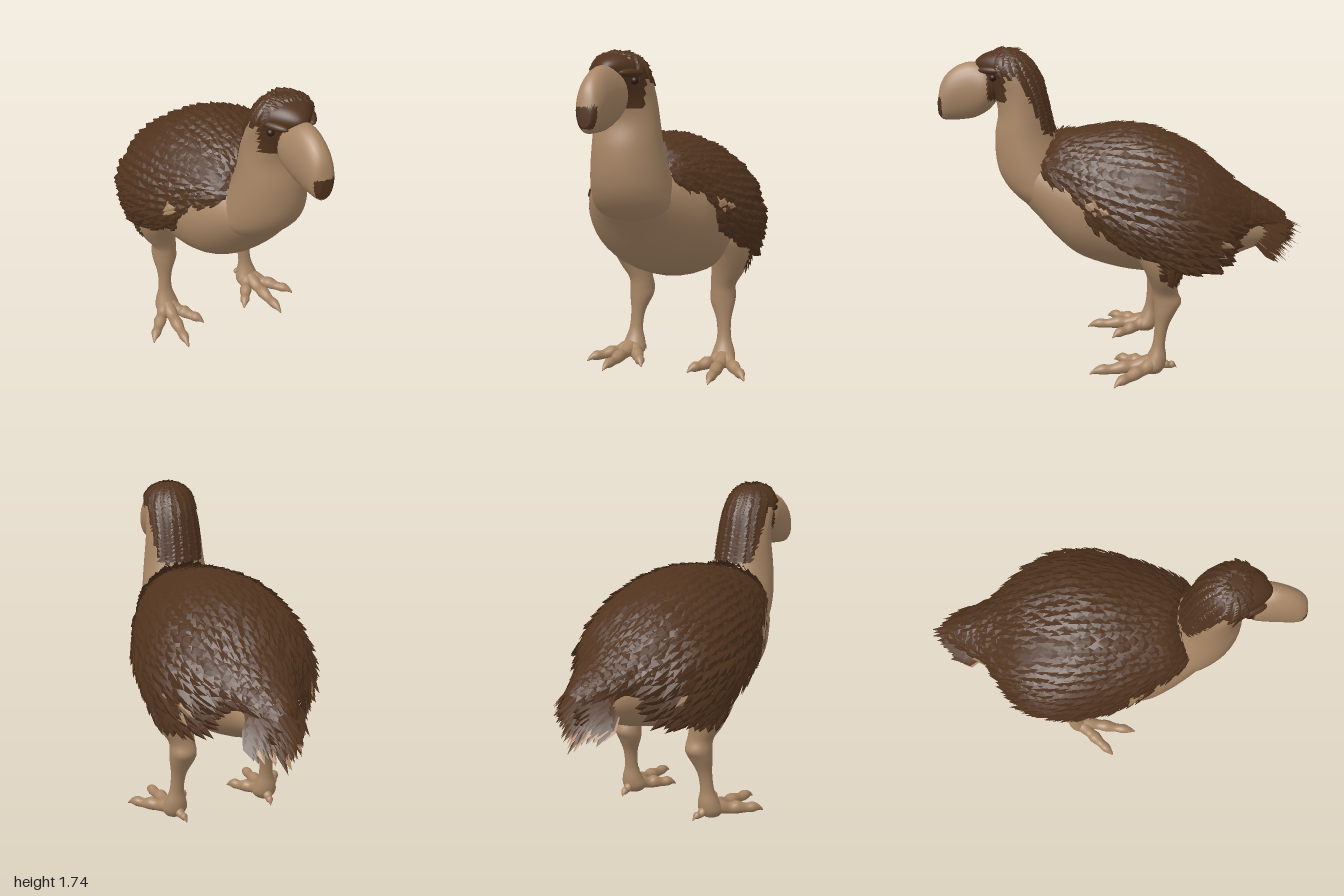
import * as THREE from 'three';

const V = (x, y, z) => new THREE.Vector3(x, y, z);
const tan = new THREE.MeshStandardMaterial({ color: 0xa88665, side: THREE.DoubleSide });
tan.name = 'bare skin tan';
const brown = new THREE.MeshStandardMaterial({ color: 0x50331e, side: THREE.DoubleSide });
brown.name = 'plumage brown';
const dark = new THREE.MeshStandardMaterial({ color: 0x2e1d12 });
dark.name = 'eye dark brown';

// Small seeded generator for feather variation
let seed = 7;
const rand = () => (seed = (seed * 16807) % 2147483647) / 2147483647;
const jitter = (a) => (rand() * 2 - 1) * a;

// Resample rows of numbers with a Catmull-Rom spline in every column
function smooth(keys, n) {
  const last = keys.length - 1;
  return Array.from({ length: n + 1 }, (_, i) => {
    const t = (i / n) * last, k = Math.min(Math.floor(t), last - 1), f = t - k;
    return keys[0].map((_, c) => {
      const [p, a, b, q] = [k - 1, k, k + 1, k + 2].map((j) => keys[Math.min(last, Math.max(0, j))][c]);
      return a + 0.5 * f * (b - p + f * (2 * p - 5 * a + 4 * b - q + f * (3 * (a - b) + q - p)));
    });
  });
}

const circle = (n, fn) => Array.from({ length: n }, (_, i) => {
  const a = (i / n) * Math.PI * 2;
  return fn(Math.sin(a), Math.cos(a));
});

// Skin cross-sections; isBrown(centre of face) picks the colour of each face
function loft(name, rings, { closed = true, isBrown = () => false } = {}) {
  const n = rings[0].length, pts = rings.flat(), tris = [];
  for (let r = 0; r < rings.length - 1; r++) {
    for (let c = 0; c < (closed ? n : n - 1); c++) {
      const a = r * n + c, b = r * n + ((c + 1) % n);
      tris.push([a, b, b + n], [a, b + n, a + n]);
    }
  }
  if (closed) {
    [0, rings.length - 1].forEach((r) => {
      const hub = pts.length;
      pts.push(rings[r].reduce((s, p) => s.add(p), V(0, 0, 0)).divideScalar(n));
      for (let c = 0; c < n; c++) {
        const a = r * n + c, b = r * n + ((c + 1) % n);
        tris.push(r ? [a, b, hub] : [b, a, hub]);
      }
    });
  }
  // Turn all faces outward
  const mid = pts.reduce((s, p) => s.add(p), V(0, 0, 0)).divideScalar(pts.length);
  let volume = 0;
  for (const [a, b, c] of tris) {
    const normal = pts[b].clone().sub(pts[a]).cross(pts[c].clone().sub(pts[a]));
    volume += normal.dot(pts[a].clone().sub(mid));
  }
  const sets = [[], []];
  for (const [a, b, c] of tris) {
    const centre = pts[a].clone().add(pts[b]).add(pts[c]).divideScalar(3);
    sets[isBrown(centre) ? 1 : 0].push(...(volume > 0 ? [a, b, c] : [a, c, b]));
  }
  const geo = new THREE.BufferGeometry().setFromPoints(pts);
  geo.setIndex(sets.flat());
  geo.addGroup(0, sets[0].length, 0);
  geo.addGroup(sets[0].length, sets[1].length, 1);
  geo.computeVertexNormals();
  const mesh = new THREE.Mesh(geo, [tan, brown]);
  mesh.name = name;
  return mesh;
}

// Feather batch: each one is a ridged blade lying along the surface
function plumage(name, material) {
  const pts = [];
  return {
    add(base, normal, dir, length, width, lift = 0.12) {
      const d = dir.clone().addScaledVector(normal, -dir.dot(normal)).normalize();
      const side = d.clone().cross(normal).normalize();
      const at = (l, s, h) => base.clone().addScaledVector(d, l * length)
        .addScaledVector(side, s * width).addScaledVector(normal, h);
      const root = at(0, 0, -0.004), mid = at(0.5, 0, 0.003 + lift * length * 0.5);
      const left = at(0.6, -0.5, 0.001), right = at(0.6, 0.5, 0.001), tip = at(1, 0, lift * length);
      pts.push(root, right, mid, root, mid, left, mid, right, tip, left, mid, tip);
    },
    mesh() {
      const geo = new THREE.BufferGeometry().setFromPoints(pts);
      geo.computeVertexNormals();
      const mesh = new THREE.Mesh(geo, material);
      mesh.name = name;
      return mesh;
    },
  };
}

function eachVertex(mesh, fn) {
  const { position, normal } = mesh.geometry.attributes;
  for (let i = 0; i < position.count; i++) {
    fn(V().fromBufferAttribute(position, i), V().fromBufferAttribute(normal, i), i);
  }
}

export function createModel() {
  seed = 7;
  const bird = new THREE.Group();
  bird.name = 'flightlessBird';

  // Bare body: z, top, bottom, half width
  const bodyKeys = [[0.625, 1.12, 0.99, 0.06], [0.585, 1.15, 0.93, 0.14], [0.5, 1.19, 0.838, 0.22],
    [0.38, 1.22, 0.7, 0.3], [0.25, 1.24, 0.6, 0.355], [0, 1.26, 0.522, 0.38], [-0.25, 1.19, 0.51, 0.365],
    [-0.45, 1.05, 0.545, 0.29], [-0.6, 0.92, 0.595, 0.2], [-0.75, 0.83, 0.65, 0.13], [-0.84, 0.77, 0.7, 0.05]];
  bird.add(loft('body', smooth(bodyKeys, 40).map(([z, t, b, w]) =>
    circle(40, (s, c) => V(w * s, (t + b) / 2 + ((t - b) / 2) * c, z)))));

  // Neck and head: y, front z, back z, half width, narrowing of the face
  const neckKeys = [[0.82, 0.36, 0.1, 0.1, 0], [0.89, 0.535, 0.15, 0.19, 0], [0.97, 0.63, 0.21, 0.222, 0],
    [1.06, 0.688, 0.27, 0.213, 0], [1.16, 0.71, 0.33, 0.197, 0],
    [1.28, 0.71, 0.385, 0.178, 0], [1.4, 0.69, 0.415, 0.166, 0], [1.5, 0.715, 0.437, 0.16, 0.2],
    [1.58, 0.768, 0.46, 0.153, 0.4], [1.65, 0.8, 0.5, 0.138, 0.42], [1.695, 0.76, 0.55, 0.102, 0.25],
    [1.72, 0.69, 0.6, 0.05, 0]];
  const hood = ({ y, z }) => y > 1.595 || (y > 1.465 && z > 0.64)
    || (y > 1.3 && z < 0.435 + (y - 1.28) * 0.42);
  const neck = loft('neckAndHead', smooth(neckKeys, 60).map(([y, f, b, w, k]) =>
    circle(40, (s, c) => V(w * s * (1 - k * Math.max(0, c)), y, (f + b) / 2 + ((f - b) / 2) * c))),
  { isBrown: hood });
  bird.add(neck);

  // Beak with a dark base and a dark spot at the tip: z, top, bottom, half width
  const beakKeys = [[0.69, 1.6, 1.46, 0.07], [0.74, 1.64, 1.405, 0.092], [0.81, 1.66, 1.368, 0.085],
    [0.88, 1.645, 1.357, 0.076], [0.94, 1.605, 1.355, 0.067], [0.98, 1.55, 1.36, 0.052], [1, 1.47, 1.385, 0.03]];
  bird.add(loft('beak', smooth(beakKeys, 42).map(([z, t, b, w]) =>
    circle(28, (s, c) => V(w * s, (t + b) / 2 + ((t - b) / 2) * c, z))),
  { isBrown: ({ y, z }) => (z > 0.978 && y < 1.475 && y > 1.378) || (z < 0.735 && y > 1.465) }));

  // Mantle and folded wings, an open shell: z, top, widest height, lower edge, half width
  const mantleKeys = [[0.46, 1.2, 1.13, 1.07, 0.2], [0.4, 1.26, 1.08, 1.02, 0.255], [0.25, 1.295, 0.98, 0.9, 0.355],
    [0.1, 1.315, 0.91, 0.8, 0.42], [-0.05, 1.31, 0.88, 0.74, 0.455], [-0.2, 1.265, 0.86, 0.68, 0.462],
    [-0.35, 1.19, 0.83, 0.66, 0.425], [-0.48, 1.085, 0.82, 0.7, 0.335], [-0.6, 0.985, 0.83, 0.76, 0.21],
    [-0.72, 0.905, 0.8, 0.745, 0.135], [-0.8, 0.85, 0.76, 0.7, 0.09]];
  const cols = 37, reach = Math.PI * 0.62;
  const bald = ({ x, y, z }) => Math.abs(x) > 0.25
    && (Math.hypot(z - 0.22, (y - 0.98) * 1.6) < 0.05 || Math.hypot(z + 0.38, (y - 0.78) * 2) < 0.05);
  const mantle = loft('mantleAndWings', smooth(mantleKeys, 40).map(([z, t, m, e, w]) =>
    Array.from({ length: cols }, (_, i) => {
      const a = ((i / (cols - 1)) * 2 - 1) * reach, c = Math.cos(a);
      return V(w * Math.sin(a), m + (c > 0 ? (t - m) * c : ((m - e) * c) / -Math.cos(reach)), z);
    })), { closed: false, isBrown: (p) => !bald(p) });
  bird.add(mantle);

  // Overlapping body feathers, longer toward the rear
  const cover = plumage('bodyFeathers', brown), pale = plumage('paleFeathers', tan);
  eachVertex(mantle, (p, n, i) => {
    const v = Math.abs(((i % cols) / (cols - 1)) * 2 - 1);
    const back = THREE.MathUtils.clamp((0.2 - p.z) / 0.5, 0, 1);
    const length = (0.085 + 0.03 * back + (v > 0.7 ? 0.05 * back : 0) + jitter(0.02)) * (p.z < -0.5 ? 0.7 : 1);
    const droop = p.z < -0.45 ? 0.35 : 0.6;
    p.add(V(jitter(0.008), 0, jitter(0.012)));
    (bald(p) ? pale : cover).add(p, n, V(jitter(0.15), -droop * v + jitter(0.15), -1), length, 0.055, 0.1);
  });
  bird.add(cover.mesh());

  // Short feathers over crown and nape
  const cap = plumage('hoodFeathers', brown);
  eachVertex(neck, (p, n, i) => {
    if (i % 2 === 0 && hood(p) && p.z < 0.72 && (p.z < 0.6 || p.y > 1.6)) {
      cap.add(p, n, V(jitter(0.2), -0.8, -0.9), 0.045 + jitter(0.01), 0.035, 0.11);
    }
  });
  bird.add(cap.mesh());

  // Drooping tail fan in layers
  const tail = plumage('tailFeathers', brown);
  for (let layer = 0; layer < 8; layer++) {
    for (let i = -7; i <= 7; i++) {
      const t = i / 7, k = layer / 7;
      const dir = V(-0.05 * t + jitter(0.06), -0.5 - 0.5 * k + jitter(0.1), -1);
      const length = (0.37 - 0.04 * k) * (1 - 0.4 * Math.abs(t)) * (0.8 + 0.2 * rand());
      const base = V(0.135 * t, 0.87 - 0.13 * k - 0.05 * t * t, -0.67);
      const normal = V(0.6 * t, 1, -0.5 - 0.5 * k).normalize();
      (layer > 5 && (i + layer) % 3 === 0 ? pale : tail).add(base, normal, dir, length, 0.06, 0.02);
    }
  }
  bird.add(tail.mesh(), pale.mesh());

  // Leg: y, inner x, outer x, front z, back z
  const legKeys = [[0.86, 0.24, 0.34, 0.0, -0.2], [0.75, 0.2, 0.41, 0.005, -0.26], [0.64, 0.2, 0.415, -0.045, -0.265],
    [0.54, 0.19, 0.375, -0.09, -0.25], [0.46, 0.183, 0.325, -0.115, -0.25], [0.4, 0.178, 0.322, -0.12, -0.27],
    [0.35, 0.183, 0.32, -0.122, -0.245], [0.26, 0.222, 0.307, -0.125, -0.2], [0.16, 0.232, 0.312, -0.115, -0.183],
    [0.09, 0.215, 0.335, -0.085, -0.19], [0.04, 0.205, 0.345, -0.05, -0.185], [0.005, 0.23, 0.325, -0.06, -0.165]];
  // Toe with knuckles and claw: distance, height, radius
  const toeKeys = [[0, 0.06, 0.046], [0.08, 0.047, 0.039], [0.13, 0.036, 0.031], [0.18, 0.037, 0.036],
    [0.24, 0.028, 0.026], [0.29, 0.029, 0.028], [0.33, 0.024, 0.016], [0.36, 0.007, 0.004]];
  // Turn outward in radians and length factor of each toe
  const toes = [['middleToe', 0.08, 1], ['outerToe', 0.68, 0.83], ['innerToe', -0.58, 0.72], ['hindToe', 3.35, 0.34]];

  for (const s of [1, -1]) {
    const label = s > 0 ? 'left' : 'right';
    const leg = new THREE.Group();
    leg.name = `${label}Leg`;
    const thighFeathered = ({ y, z }) => y > 0.57 && z < -0.14;
    const shank = loft('shank', smooth(legKeys, 44).map(([y, a, b, f, r]) =>
      circle(24, (sn, c) => V(s * ((a + b) / 2 + ((b - a) / 2) * sn), y, (f + r) / 2 + ((f - r) / 2) * c))),
    { isBrown: thighFeathered });
    const fringe = plumage('thighFeathers', brown);
    eachVertex(shank, (p, n, i) => {
      if (i % 2 && p.y < 0.8 && thighFeathered(p)) fringe.add(p, n, V(jitter(0.2), -1, -0.4), 0.075, 0.045, 0.15);
    });
    leg.add(shank, fringe.mesh());
    for (const [name, turn, size] of toes) {
      const dx = Math.sin(turn) * s, dz = Math.cos(turn), thin = name === 'hindToe' ? 0.7 : 1;
      leg.add(loft(name, smooth(toeKeys, 28).map(([d, y, r]) => circle(14, (sn, c) =>
        V(s * 0.28 + dx * d * size + dz * sn * r * thin, y + c * r * thin, -0.13 + dz * d * size - dx * sn * r * thin)))));
    }
    bird.add(leg);

    // Long flight feathers forming the wing tip
    const wingTip = plumage(`${label}WingTip`, brown);
    for (let i = 0; i < 10; i++) {
      wingTip.add(V(s * (0.428 - 0.005 * Math.abs(i - 5)), 0.7 + 0.026 * i, -0.29 - 0.004 * i),
        V(s, 0.2, -0.3).normalize(), V(-s * 0.3, -0.3 + jitter(0.08), -1), 0.19 + jitter(0.025), 0.06, 0.02);
    }
    bird.add(wingTip.mesh());

    // Eye under a heavy brow
    const eye = new THREE.Mesh(new THREE.SphereGeometry(0.018, 16, 12), dark);
    eye.name = `${label}Eye`;
    eye.position.set(s * 0.108, 1.59, 0.7);
    const brow = new THREE.Mesh(new THREE.SphereGeometry(1, 20, 12), brown);
    brow.name = `${label}Brow`;
    brow.scale.set(0.025, 0.02, 0.075);
    brow.position.set(s * 0.097, 1.625, 0.71);
    brow.rotation.y = -s * 0.45;
    bird.add(eye, brow);
  }
  return bird;
}
